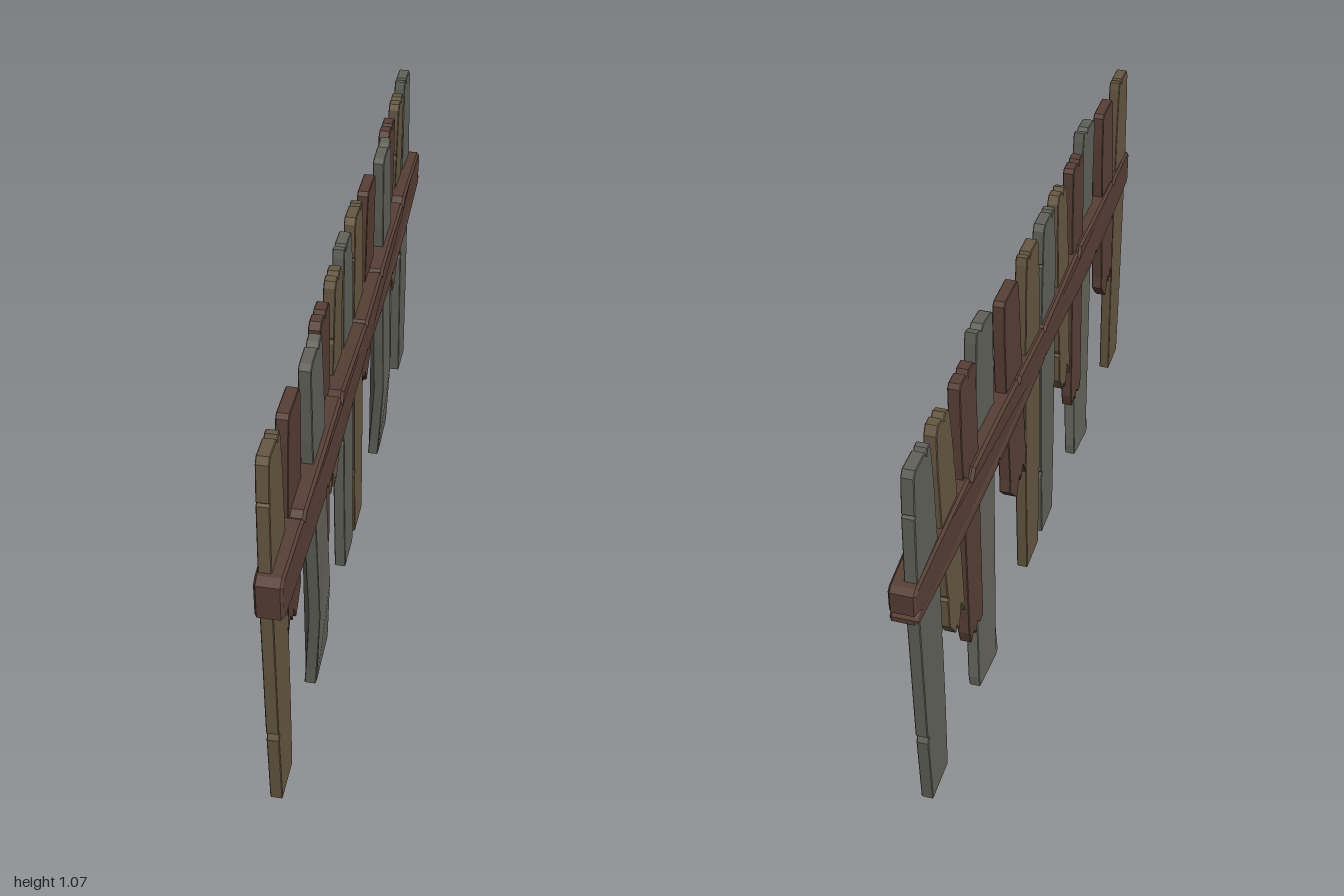
import * as THREE from 'three';

const wood = (color) => new THREE.MeshStandardMaterial({ color, flatShading: true });
const TAN = wood(0x665842), RED = wood(0x573f35), GREY = wood(0x62625a);

// Outlines as [along the fence, height]; one half of the fence, repeated for the other.
const tallTan = [
  [-0.957, 0.035], [-0.845, 0.035], [-0.838, 0.25], [-0.835, 0.47], [-0.842, 0.48], [-0.834, 0.49], [-0.834, 0.72],
  [-0.84, 0.94], [-0.848, 1.035], [-0.853, 1.055], [-0.868, 1.055], [-0.876, 1.04], [-0.883, 1.055], [-0.942, 1.055],
  [-0.953, 1.04], [-0.962, 0.95], [-0.957, 0.945], [-0.963, 0.94], [-0.973, 0.72], [-0.968, 0.27], [-0.958, 0.26], [-0.966, 0.245],
];
const shortRed = [
  [-0.813, 0.415], [-0.785, 0.465], [-0.76, 0.43], [-0.75, 0.455], [-0.722, 0.405], [-0.695, 0.43], [-0.665, 0.465],
  [-0.67, 0.5], [-0.663, 0.72], [-0.663, 0.95], [-0.67, 1.03], [-0.68, 1.04], [-0.775, 1.04], [-0.785, 1.03],
  [-0.792, 0.97], [-0.8, 0.72],
];
const bentGrey = [
  [-0.555, 0.005], [-0.535, 0.0], [-0.402, 0.02], [-0.402, 0.05], [-0.425, 0.16], [-0.447, 0.27], [-0.465, 0.45], [-0.48, 0.65],
  [-0.485, 0.85], [-0.502, 1.04], [-0.508, 1.065], [-0.53, 1.06], [-0.542, 1.05], [-0.555, 1.06], [-0.612, 1.055],
  [-0.627, 1.045], [-0.625, 0.85], [-0.61, 0.65], [-0.594, 0.45], [-0.576, 0.27], [-0.565, 0.16], [-0.556, 0.05],
];
const midRed = [
  [-0.41, 0.285], [-0.385, 0.28], [-0.365, 0.3], [-0.35, 0.275], [-0.338, 0.295], [-0.312, 0.28], [-0.302, 0.32],
  [-0.305, 0.36], [-0.31, 0.5], [-0.32, 0.72], [-0.325, 0.9], [-0.335, 1.035], [-0.345, 1.045], [-0.38, 1.045],
  [-0.39, 1.03], [-0.4, 1.045], [-0.43, 1.045], [-0.445, 1.03], [-0.44, 0.85], [-0.427, 0.6],
];
const shortTan = [
  [-0.283, 0.42], [-0.26, 0.47], [-0.235, 0.405], [-0.222, 0.43], [-0.212, 0.415], [-0.175, 0.47], [-0.176, 0.55],
  [-0.183, 0.555], [-0.175, 0.57], [-0.168, 0.72], [-0.17, 0.95], [-0.176, 1.03], [-0.19, 1.05], [-0.215, 1.05], [-0.225, 1.035],
  [-0.237, 1.05], [-0.255, 1.045], [-0.264, 1.03], [-0.275, 0.9], [-0.27, 0.89], [-0.276, 0.88], [-0.28, 0.72],
];
// The tall grey plank is the tan one turned around.
const tallGrey = tallTan.map(([s, y]) => [-0.978 - s, y]);

// Extrude an outline, let a rule shift or scale its depth, then turn it along z.
function board(name, outline, material, thickness, bevel, rule, shift = 0) {
  const shape = new THREE.Shape(outline.map(([s, y]) => new THREE.Vector2(s, y)));
  const depth = thickness - 2 * bevel;
  const geo = new THREE.ExtrudeGeometry(shape, {
    depth, bevelEnabled: true, bevelThickness: bevel, bevelSize: bevel, bevelOffset: -bevel, bevelSegments: 1,
  });
  geo.translate(0, 0, -depth / 2);
  const p = geo.attributes.position;
  for (let i = 0; i < p.count; i++) p.setZ(i, rule(p.getZ(i), p.getX(i), p.getY(i)));
  geo.translate(shift, 0, 0);
  geo.rotateY(Math.PI / 2);
  geo.computeVertexNormals();
  const mesh = new THREE.Mesh(geo, material);
  mesh.name = name;
  return mesh;
}

const straight = (z) => z - 0.014;
const leaning = (z, s, y) => z - 0.022 + 0.012 * (y - 0.4) / 0.64;
// Flat above, curving back towards the foot.
const bent = (z, s, y) => z + 0.005 - 0.02 * Math.max(0, 1 - y / 0.27);

export function createModel() {
  const group = new THREE.Group();
  group.name = 'brokenFence';

  const planks = [
    ['tallTanPlank', tallTan, TAN, straight],
    ['shortRedPlank', shortRed, RED, leaning],
    ['bentGreyPlank', bentGrey, GREY, bent],
    ['midRedPlank', midRed, RED, leaning],
    ['shortTanPlank', shortTan, TAN, leaning],
    ['tallGreyPlank', tallGrey, GREY, straight],
  ];
  for (const shift of [0, 0.978]) {
    for (const [name, outline, material, rule] of planks) {
      group.add(board(name, outline, material, 0.03, 0.002, rule, shift));
    }
  }

  // Cross rail with chips along both edges and a split at one end.
  const rail = [
    [-1, 0.665], [-0.98, 0.655], [-0.8, 0.65], [-0.565, 0.65], [-0.553, 0.665], [-0.541, 0.65], [-0.36, 0.653],
    [-0.15, 0.668], [-0.008, 0.672], [0, 0.678], [0.008, 0.67], [0.2, 0.655], [0.41, 0.65], [0.42, 0.662], [0.43, 0.65],
    [0.7, 0.65], [0.98, 0.66], [1, 0.672], [1, 0.685], [0.975, 0.691], [1, 0.698], [1, 0.755], [0.985, 0.766],
    [0.8, 0.782], [0.645, 0.793], [0.625, 0.77], [0.605, 0.793], [0.4, 0.79], [0.25, 0.782], [0.24, 0.77], [0.23, 0.782],
    [0.008, 0.772], [0, 0.764], [-0.008, 0.772], [-0.2, 0.785], [-0.34, 0.795], [-0.355, 0.768], [-0.37, 0.797],
    [-0.55, 0.79], [-0.77, 0.778], [-0.785, 0.765], [-0.8, 0.776], [-0.98, 0.767], [-1, 0.755],
  ];
  const taper = (z, s) => z * (1 - 0.2 * Math.max(0, (Math.abs(s) - 0.6) / 0.4)) - 0.002;
  group.add(board('crossRail', rail, RED, 0.08, 0.007, taper));
  return group;
}
